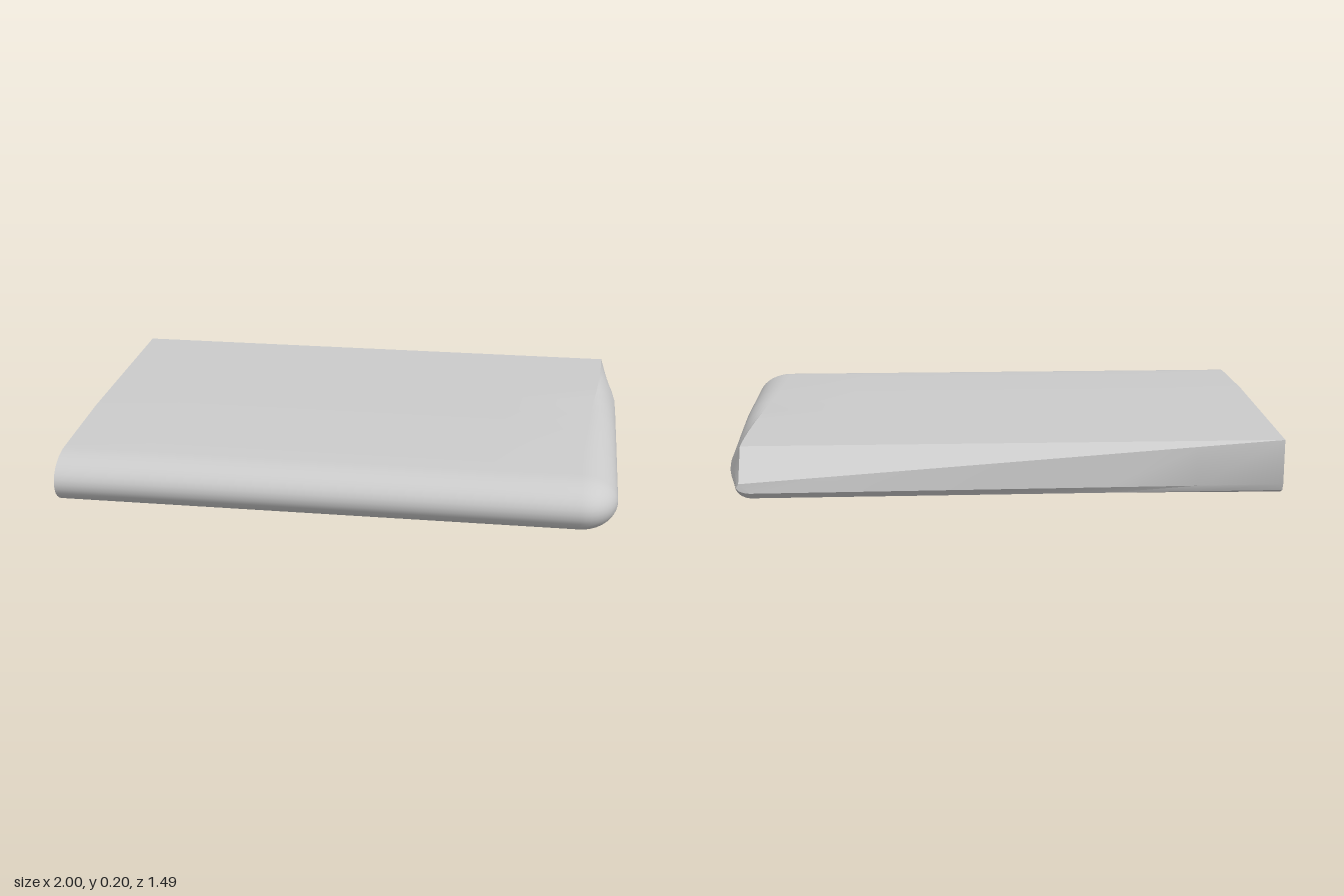
import * as THREE from 'three';
import { toCreasedNormals } from 'three/addons/utils/BufferGeometryUtils.js';

const { lerp, smoothstep, clamp } = THREE.MathUtils;
const MID = 0.097; // height of the rounded rim's centre line
const NOSE = 0.6;  // z where the rounded front begins

// Cross-section [z, y] from the rear tip over the top, round the nose and back below.
// f runs from 0 at the flat end to 1 at the rounded end, where the rear tapers to a wedge.
function section(f) {
  const tipZ = lerp(-0.6, -0.747, f);
  const ridgeZ = -0.6;
  const pts = [[tipZ, lerp(0.205, 0.11, f)]];
  for (const z of [ridgeZ, -0.5, -0.4, -0.25, -0.1, 0.06, 0.22]) pts.push([z, 0.205]);
  pts.push([0.4, 0.198]);
  for (let i = 0; i <= 16; i++) {
    const a = Math.PI * (0.5 - i / 16);
    pts.push([NOSE + 0.147 * Math.cos(a), MID + Math.sin(a) * (a > 0 ? 0.093 : 0.097)]);
  }
  for (const z of [0.2, -0.2, -0.4]) pts.push([z, 0]);
  pts.push([lerp(-0.56, -0.52, f), 0]);
  pts.push([lerp(-0.59, -0.72, f), lerp(0.015, 0.05, f)]);
  pts.push([tipZ, lerp(0.04, 0.075, f)]);
  return pts;
}

// Outermost x of the rounded end: it pulls in toward the rear corner.
function endX(z) {
  const k = clamp((-0.35 - z) / 0.397, 0, 1);
  return 1 - 0.06 * Math.pow(k, 1.8);
}

// x at which the rounding starts: sharper at the rear, especially on top.
function startX(z, upper) {
  const back = 1 - smoothstep(z, -0.62, 0.55);
  const x = lerp(0.87, upper ? 0.94 : 0.89, back);
  return Math.min(x, endX(z) - 0.008);
}

function slabGeometry() {
  const rows = [];
  const spans = 6, steps = 10;

  // straight length, tapering at the rear
  const endSection = section(1);
  for (let i = 0; i <= spans; i++) {
    const f = i / spans;
    rows.push(section(f).map(([z, y], j) => {
      const [ez, ey] = endSection[j];
      return [lerp(-1, startX(ez, ey > MID), f), y, z];
    }));
  }

  // rounded end, closing onto the rim line
  for (let i = 1; i <= steps; i++) {
    const u = i / steps, t = u * Math.PI / 2;
    const c = i === steps ? 0 : Math.cos(t);
    rows.push(endSection.map(([z, y]) => {
      const upper = y > MID;
      const bevel = upper ? 1 - smoothstep(z, -0.6, 0.1) : 0;
      const x0 = startX(z, upper);
      const x = x0 + (endX(z) - x0) * lerp(Math.sin(t), u, bevel);
      const newZ = z > NOSE ? NOSE + (z - NOSE) * c : z;
      return [x, MID + (y - MID) * lerp(c, 1 - u, bevel), newZ];
    }));
  }

  const n = endSection.length;
  const positions = rows.flat(2);
  const index = [];
  for (let i = 0; i < rows.length - 1; i++) {
    for (let j = 0; j < n; j++) {
      const a = i * n + j, b = i * n + (j + 1) % n;
      index.push(a, b, a + n, b, b + n, a + n);
    }
  }

  // flat end cap
  const centre = positions.length / 3;
  positions.push(-1, MID, 0);
  for (let j = 0; j < n; j++) index.push(centre, (j + 1) % n, j);

  const geometry = new THREE.BufferGeometry();
  geometry.setAttribute('position', new THREE.Float32BufferAttribute(positions, 3));
  geometry.setIndex(index);
  return toCreasedNormals(geometry, 0.48);
}

export function createModel() {
  const group = new THREE.Group();
  group.name = 'wingPanel';
  const panel = new THREE.Mesh(
    slabGeometry(),
    new THREE.MeshStandardMaterial({ color: 0xcccccc })
  );
  panel.name = 'panel';
  group.add(panel);
  return group;
}
